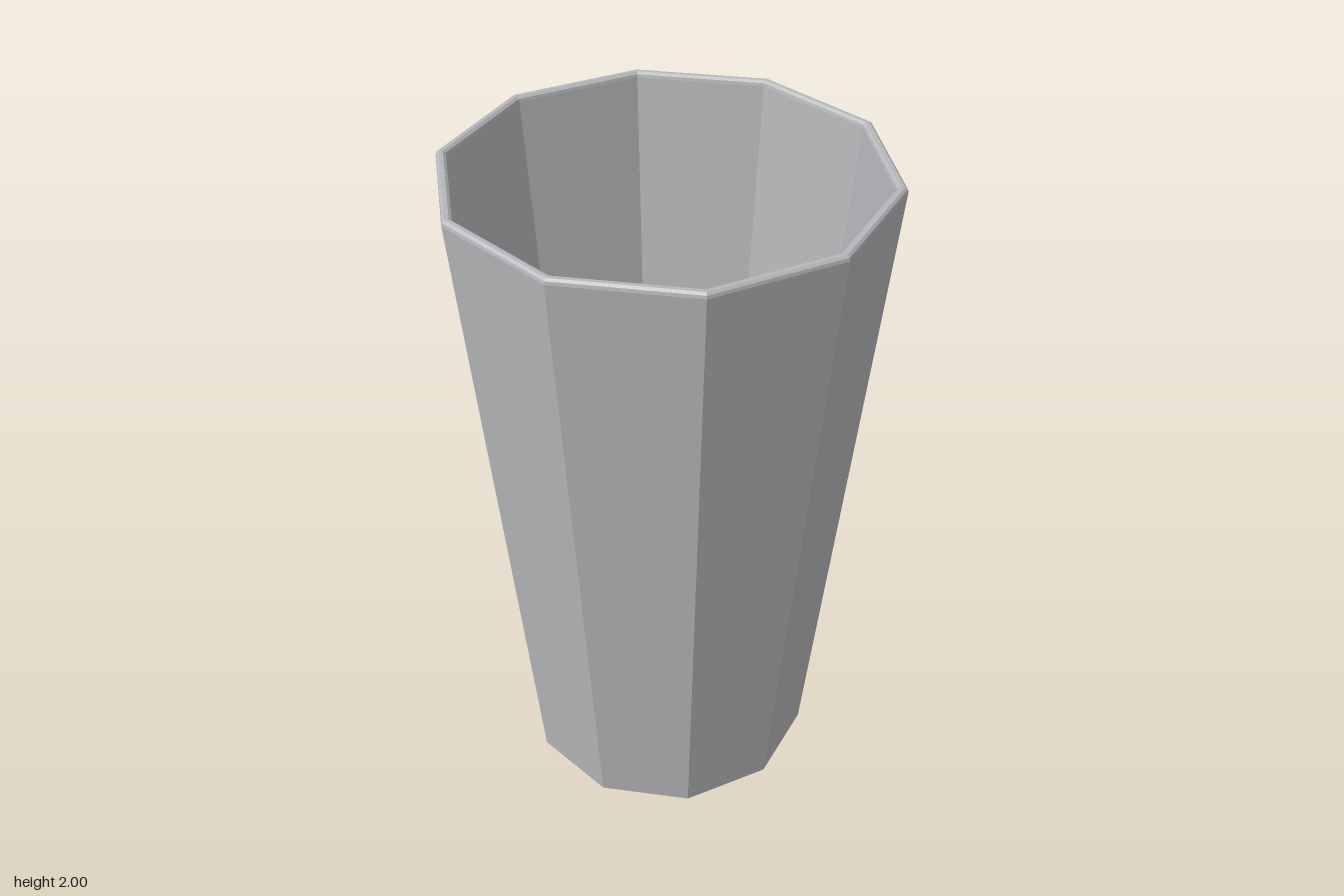
import * as THREE from 'three';

export function createModel() {
  const group = new THREE.Group();
  const grey = new THREE.MeshStandardMaterial({ color: 0xb6b7ba, flatShading: true });
  grey.name = 'grey';

  // Ten-sided ring or shell; corners lie on the x axis
  const addTurned = (name, profile) => {
    const points = profile.map(([r, y]) => new THREE.Vector2(r, y));
    const mesh = new THREE.Mesh(new THREE.LatheGeometry(points, 10, Math.PI / 2), grey);
    mesh.name = name;
    group.add(mesh);
  };

  // Underside, chamfered foot and tapered outer wall
  addTurned('base', [[0, 0], [0.42, 0]]);
  addTurned('footChamfer', [[0.42, 0], [0.44, 0.022]]);
  addTurned('outerWall', [[0.44, 0.022], [0.631, 1.985]]);

  // Rounded lip
  addTurned('rim', [
    [0.631, 1.985], [0.629, 1.994], [0.622, 2],
    [0.61, 2], [0.602, 1.994], [0.6, 1.985],
  ]);

  // Inside of the cup
  addTurned('innerWall', [[0.6, 1.985], [0.42, 0.1]]);
  addTurned('innerFloor', [[0.42, 0.1], [0, 0.1]]);

  return group;
}
